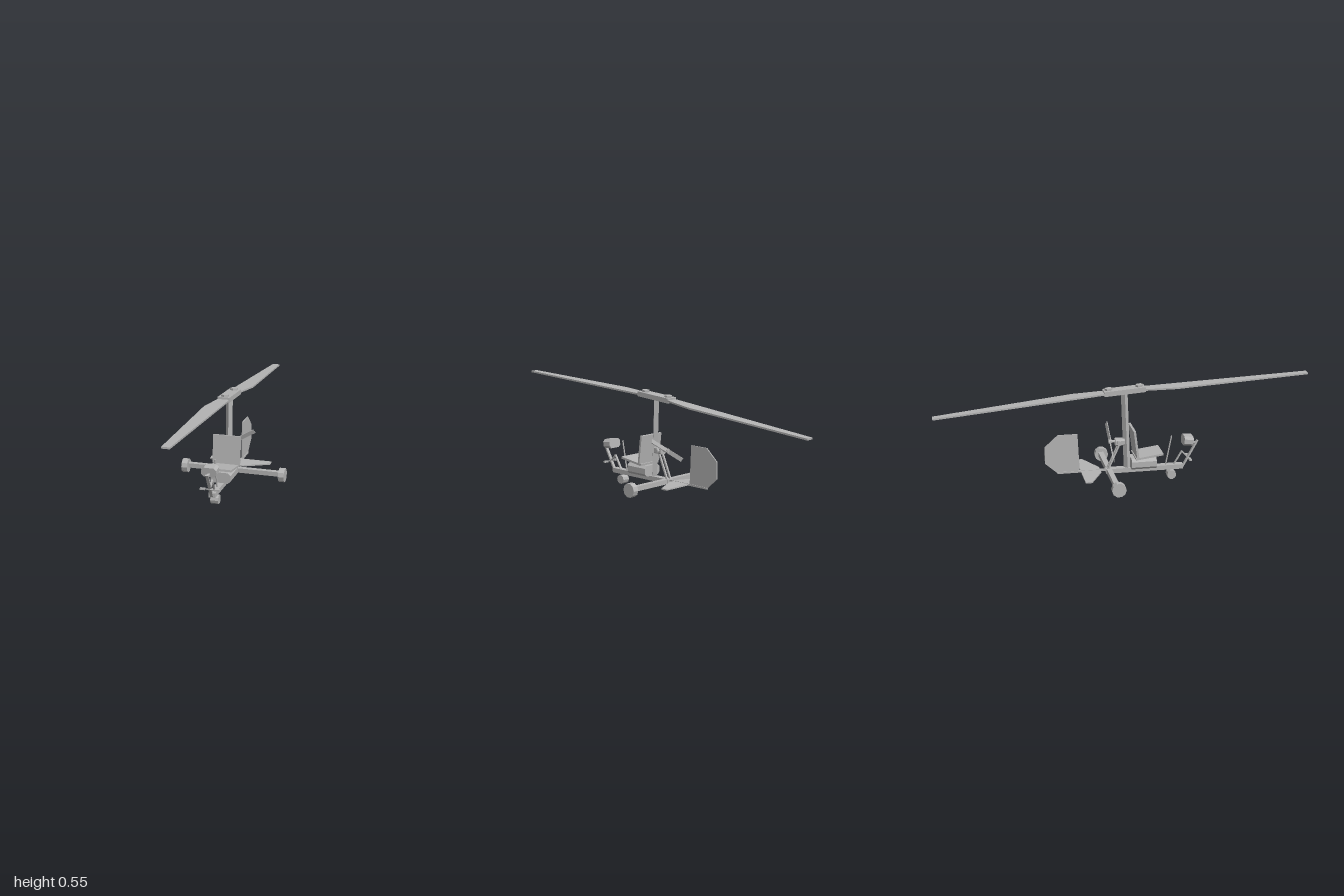
import * as THREE from 'three';

export function createModel() {
  const root = new THREE.Group();
  root.name = 'gyrocopter';
  const grey = new THREE.MeshStandardMaterial({ color: 0xb4b4b4, flatShading: true });
  grey.name = 'light grey';

  const add = (name, geo, x = 0, y = 0, z = 0, parent = root) => {
    const m = new THREE.Mesh(geo, grey);
    m.name = name;
    m.position.set(x, y, z);
    parent.add(m);
    return m;
  };
  const box = (name, w, h, d, x, y, z) => add(name, new THREE.BoxGeometry(w, h, d), x, y, z);
  const UP = new THREE.Vector3(0, 1, 0);
  // Places a y-aligned geometry builder between two points
  const between = (name, a, b, make) => {
    const p = new THREE.Vector3(...a), q = new THREE.Vector3(...b);
    const m = add(name, make(p.distanceTo(q)));
    m.position.copy(p).lerp(q, 0.5);
    m.quaternion.setFromUnitVectors(UP, q.sub(p).normalize());
    return m;
  };
  const bar = (name, a, b, w, d) => between(name, a, b, (l) => new THREE.BoxGeometry(w, l, d));
  const rod = (name, a, b, r, n = 6) => between(name, a, b, (l) => new THREE.CylinderGeometry(r, r, l, n));
  // Outline extruded along z and centred on its depth
  const plate = (pts, depth) => {
    const g = new THREE.ExtrudeGeometry(new THREE.Shape(pts.map((p) => new THREE.Vector2(...p))),
      { depth, bevelEnabled: false });
    return g.translate(0, 0, -depth / 2);
  };
  const octagon = (w, h, c) => [[-w + c, -h], [w - c, -h], [w, -h + c], [w, h - c],
    [w - c, h], [-w + c, h], [-w, h - c], [-w, -h + c]];

  // Frame
  box('keel', 0.036, 0.025, 0.42, 0, 0.068, 0.11);
  box('axle', 0.53, 0.025, 0.028, 0, 0.068, -0.083);
  box('tailBoom', 0.012, 0.01, 0.28, 0, 0.073, -0.22);
  const mast = between('mast', [0, 0.075, 0.016], [0, 0.503, 0], (l) => new THREE.CylinderGeometry(0.018, 0.018, l, 4));
  mast.userData.part = 'frame';

  // Wheels
  const wheel = (name, r, w, x, y, z) =>
    add(name, new THREE.CylinderGeometry(r, r, w, 10).rotateZ(Math.PI / 2), x, y, z);
  wheel('noseWheel', 0.025, 0.042, 0, 0.025, 0.257);
  for (const s of [1, -1]) wheel(s > 0 ? 'leftWheel' : 'rightWheel', 0.038, 0.032, s * 0.271, 0.064, -0.079);

  // Seat on a chamfered tank
  add('tank', plate(octagon(0.055, 0.029, 0.014), 0.135), 0, 0.108, 0.1);
  bar('seatCushion', [0, 0.143, 0.052], [0, 0.163, 0.2], 0.136, 0.011);
  bar('seatBack', [0, 0.15, 0.062], [0, 0.302, 0.043], 0.15, 0.012);

  // Nose post, pedals, instrument pod and stick
  bar('nosePost', [0, 0.063, 0.32], [0, 0.207, 0.4], 0.016, 0.009);
  bar('pedalArm', [0, 0.11, 0.353], [0, 0.15, 0.315], 0.012, 0.006);
  bar('pedalBrace', [0, 0.15, 0.315], [0, 0.075, 0.27], 0.012, 0.006);
  rod('pedalBar', [-0.05, 0.113, 0.353], [0.05, 0.113, 0.353], 0.003);
  for (const s of [1, -1]) box('pedal', 0.027, 0.009, 0.014, s * 0.038, 0.113, 0.353);
  const pod = add('instrumentPod', plate(octagon(0.04, 0.025, 0.013), 0.05), 0, 0.213, 0.345);
  pod.rotation.x = 0.12;
  bar('podBracket', [0, 0.195, 0.394], [0, 0.205, 0.35], 0.012, 0.008);
  rod('controlStick', [0, 0.075, 0.226], [0, 0.24, 0.258], 0.004);

  // Engine with its mounts
  add('engineBlock', plate(octagon(0.022, 0.018, 0.007), 0.05), 0, 0.226, -0.025);
  rod('cylinders', [-0.035, 0.226, -0.03], [0.035, 0.226, -0.03], 0.012, 8);
  rod('propShaft', [0, 0.23, -0.04], [0, 0.23, -0.085], 0.008, 8);
  for (const s of [1, -1]) {
    bar('engineStrut', [s * 0.012, 0.215, -0.028], [s * 0.012, 0.075, -0.09], 0.01, 0.009);
  }
  bar('engineMount', [0, 0.215, 0.015], [0, 0.215, -0.03], 0.02, 0.012);

  // Pusher propeller: two oppositely pitched blades
  const prop = new THREE.Group();
  prop.name = 'propeller';
  prop.position.set(0, 0.23, -0.076);
  prop.rotation.z = 0.53;
  root.add(prop);
  for (const s of [1, -1]) {
    const blade = add('propBlade', new THREE.BoxGeometry(0.13, 0.023, 0.004), s * 0.068, 0, 0, prop);
    blade.rotation.x = s * 0.35;
  }
  add('propHub', new THREE.CylinderGeometry(0.012, 0.012, 0.016, 8).rotateX(Math.PI / 2), 0, 0, 0, prop);

  // Tail: upright rudder and flat stabilizer
  const rudder = add('rudder', plate([[0.24, 0.068], [0.355, 0.068], [0.425, 0.13], [0.425, 0.22],
    [0.355, 0.283], [0.25, 0.283]], 0.006));
  rudder.rotation.y = Math.PI / 2;
  const stabilizer = add('stabilizer', plate([[-0.172, 0.235], [-0.172, 0.2], [-0.035, 0.13],
    [0.035, 0.13], [0.172, 0.2], [0.172, 0.235]], 0.007), 0, 0.073, 0);
  stabilizer.rotation.x = -Math.PI / 2;

  // Rotor head with bolts
  const hub = new THREE.Group();
  hub.name = 'rotorHead';
  hub.position.set(0, 0.508, 0);
  hub.rotation.x = -0.07;
  root.add(hub);
  add('hubPlate', new THREE.BoxGeometry(0.064, 0.026, 0.22), 0, 0, 0, hub);
  for (const s of [1, -1]) {
    add('hubBolt', new THREE.CylinderGeometry(0.021, 0.021, 0.014, 6), 0, 0.016, s * 0.082, hub);
  }

  // Rotor blades: same outline turned half round, each with its own slope
  const outline = [[-0.03, 0], [0.03, 0], [0.02, 0.9], [-0.02, 0.9], [-0.054, 0.17]];
  const rotorBlade = (name, yaw, slope, y, z) => {
    const holder = new THREE.Group();
    holder.name = name;
    holder.position.set(0, y, z);
    holder.rotation.y = yaw;
    root.add(holder);
    const blade = add('bladeSurface', plate(outline, 0.009), 0, 0, 0, holder);
    blade.rotation.x = Math.PI / 2 - slope;
  };
  rotorBlade('frontRotorBlade', 0, 0.043, 0.513, 0.1);
  rotorBlade('rearRotorBlade', Math.PI, -0.094, 0.5, -0.1);

  return root;
}
